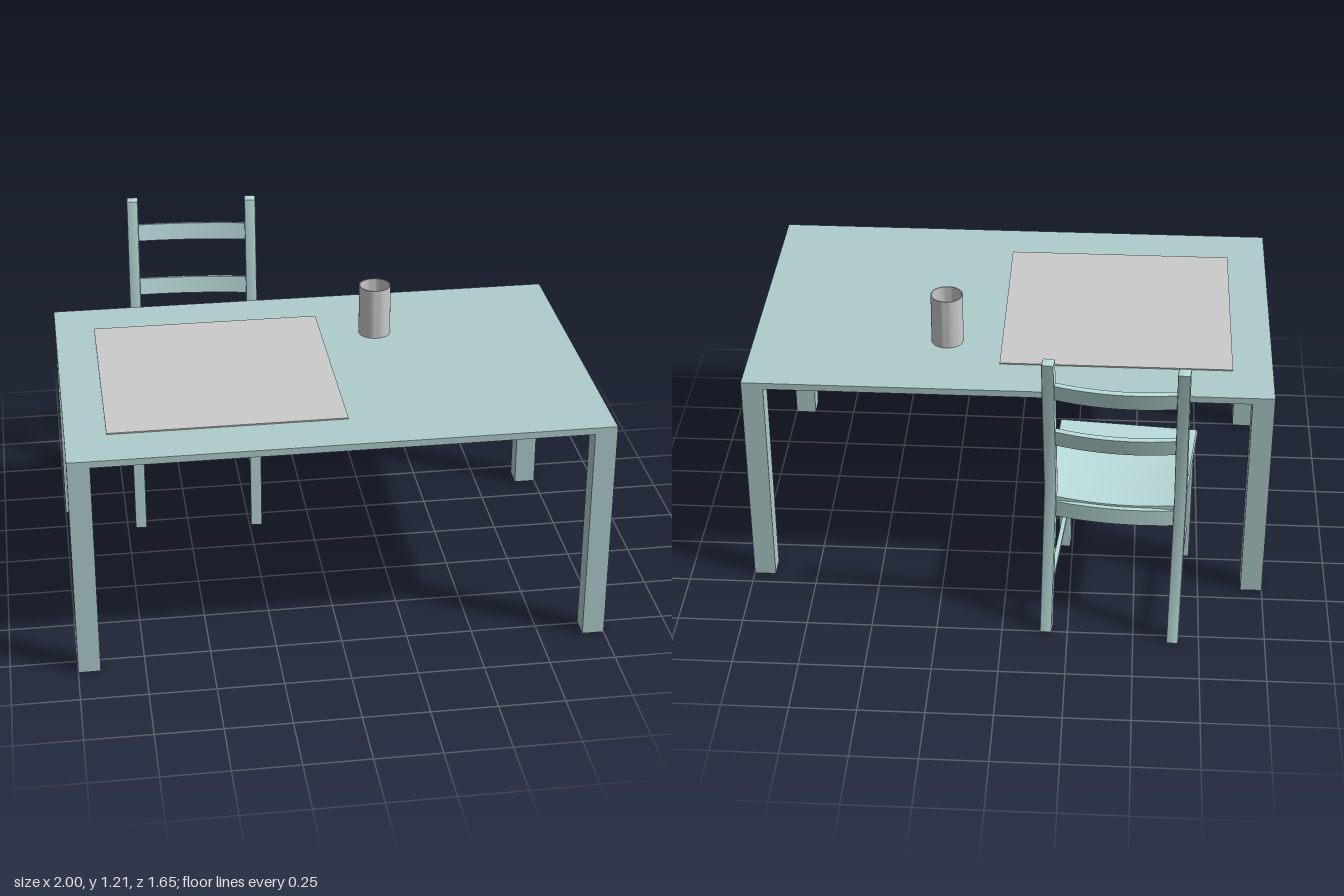
import * as THREE from 'three';
import { RoundedBoxGeometry } from 'three/addons/geometries/RoundedBoxGeometry.js';
import { toCreasedNormals } from 'three/addons/utils/BufferGeometryUtils.js';

const tableMat = new THREE.MeshStandardMaterial({ color: 0xafcccc });
const chairMat = new THREE.MeshStandardMaterial({ color: 0xbbdcdc });
const greyMat = new THREE.MeshStandardMaterial({ color: 0xcccccc, side: THREE.DoubleSide });

function add(parent, name, geo, mat, x = 0, y = 0, z = 0) {
  const mesh = new THREE.Mesh(geo, mat);
  mesh.name = name;
  mesh.position.set(x, y, z);
  parent.add(mesh);
  return mesh;
}

// Box bowed along its width; a negative bow curves it backward
function bowedBar(w, h, d, bow) {
  const geo = new THREE.BoxGeometry(w, h, d, 16, 1, 1);
  const p = geo.attributes.position;
  for (let i = 0; i < p.count; i++) {
    const t = p.getX(i) / (w / 2);
    p.setZ(i, p.getZ(i) + bow * (1 - t * t));
  }
  return toCreasedNormals(geo, 0.6);
}

// Back post: one piece that bends at seat height, extruded across x
function backPost() {
  const t = 0.024;
  const line = [[-0.557, 0], [-0.464, 0.6], [-0.587, 1.21]];
  const outline = [
    ...line.map(([z, y]) => new THREE.Vector2(z + t, y)),
    ...line.map(([z, y]) => new THREE.Vector2(z - t, y)).reverse(),
  ];
  const geo = new THREE.ExtrudeGeometry(new THREE.Shape(outline), {
    depth: 0.035, bevelThickness: 0.005, bevelSize: 0.004, bevelOffset: -0.004, bevelSegments: 2,
  });
  geo.translate(0, 0, -0.0175);
  geo.rotateY(-Math.PI / 2);
  return toCreasedNormals(geo, 0.6);
}

// Seat: rounded slab, narrower at the back, with a shallow scoop
function seatGeometry() {
  const front = 0.04, back = -0.482, depth = front - back;
  const s = new THREE.BoxGeometry(2, 0.024, depth, 20, 2, 20);
  const p = s.attributes.position;
  for (let i = 0; i < p.count; i++) {
    const u = p.getX(i), f = 0.5 - p.getZ(i) / depth;
    const edge = Math.abs(p.getY(i)) > 0.01 && (Math.abs(u) > 0.99 || f < 0.001) ? 0.005 : 0;
    const half = 0.27 - 0.012 * f - (Math.abs(u) > 0.99 ? edge : 0);
    const scoop = 0.022 * (1 - u * u) * THREE.MathUtils.smoothstep(f, 0, 0.6);
    p.setX(i, u * half);
    p.setY(i, p.getY(i) - scoop);
    if (f < 0.001) p.setZ(i, p.getZ(i) - edge);
  }
  s.translate(0, 0.559, (front + back) / 2);
  return toCreasedNormals(s, 0.8);
}

function buildTable() {
  const table = new THREE.Group();
  table.name = 'table';
  add(table, 'tableTop', new THREE.BoxGeometry(2, 0.026, 1.27), tableMat, 0, 0.875, 0.19);
  const leg = new THREE.BoxGeometry(0.083, 0.862, 0.083);
  for (const x of [-0.9585, 0.9585])
    for (const z of [-0.4035, 0.7835]) add(table, 'tableLeg', leg, tableMat, x, 0.431, z);
  return table;
}

function buildChair() {
  const chair = new THREE.Group();
  chair.name = 'chair';
  const post = backPost();
  const leg = new RoundedBoxGeometry(0.045, 0.55, 0.045, 2, 0.005);
  const sideRail = new THREE.BoxGeometry(0.02, 0.066, 0.46);
  const stretcher = new RoundedBoxGeometry(0.018, 0.024, 0.53, 2, 0.004);
  for (const side of [-1, 1]) {
    add(chair, 'backPost', post, chairMat, side * 0.242);
    add(chair, 'frontLeg', leg, chairMat, side * 0.238, 0.275, 0);
    add(chair, 'sideRail', sideRail, chairMat, side * 0.24, 0.513, -0.235);
    add(chair, 'stretcher', stretcher, chairMat, side * 0.24, 0.135, -0.265);
  }
  add(chair, 'seat', seatGeometry(), chairMat);
  add(chair, 'frontRail', bowedBar(0.45, 0.066, 0.02, 0.008), chairMat, 0, 0.513, 0);
  add(chair, 'rearRail', bowedBar(0.45, 0.066, 0.02, -0.02), chairMat, 0, 0.513, -0.478);
  // Two curved slats leaning with the posts
  for (const y of [0.852, 1.075]) {
    const z = -0.464 - 0.123 * (y - 0.6) / 0.61;
    const slat = add(chair, 'backSlat', bowedBar(0.45, 0.068, 0.02, -0.022), chairMat, 0, y, z);
    slat.rotation.x = -0.199;
  }
  chair.position.set(-0.4575, 0, -0.195);
  chair.rotation.y = -0.085;
  return chair;
}

export function createModel() {
  const model = new THREE.Group();
  model.name = 'tableAndChair';
  model.add(buildTable(), buildChair());

  // Thin square mat on the table
  add(model, 'tableMat', new THREE.BoxGeometry(0.885, 0.005, 0.885), greyMat, -0.405, 0.8905, 0.188);

  // Open cup with a thin wall
  const profile = [[0, 0], [0.062, 0], [0.062, 0.203], [0.058, 0.203], [0.058, 0.006], [0, 0.006]]
    .map(([r, y]) => new THREE.Vector2(r, y));
  const cup = toCreasedNormals(new THREE.LatheGeometry(profile, 40), 0.6);
  add(model, 'cup', cup, greyMat, 0.25, 0.888, -0.087);
  return model;
}
